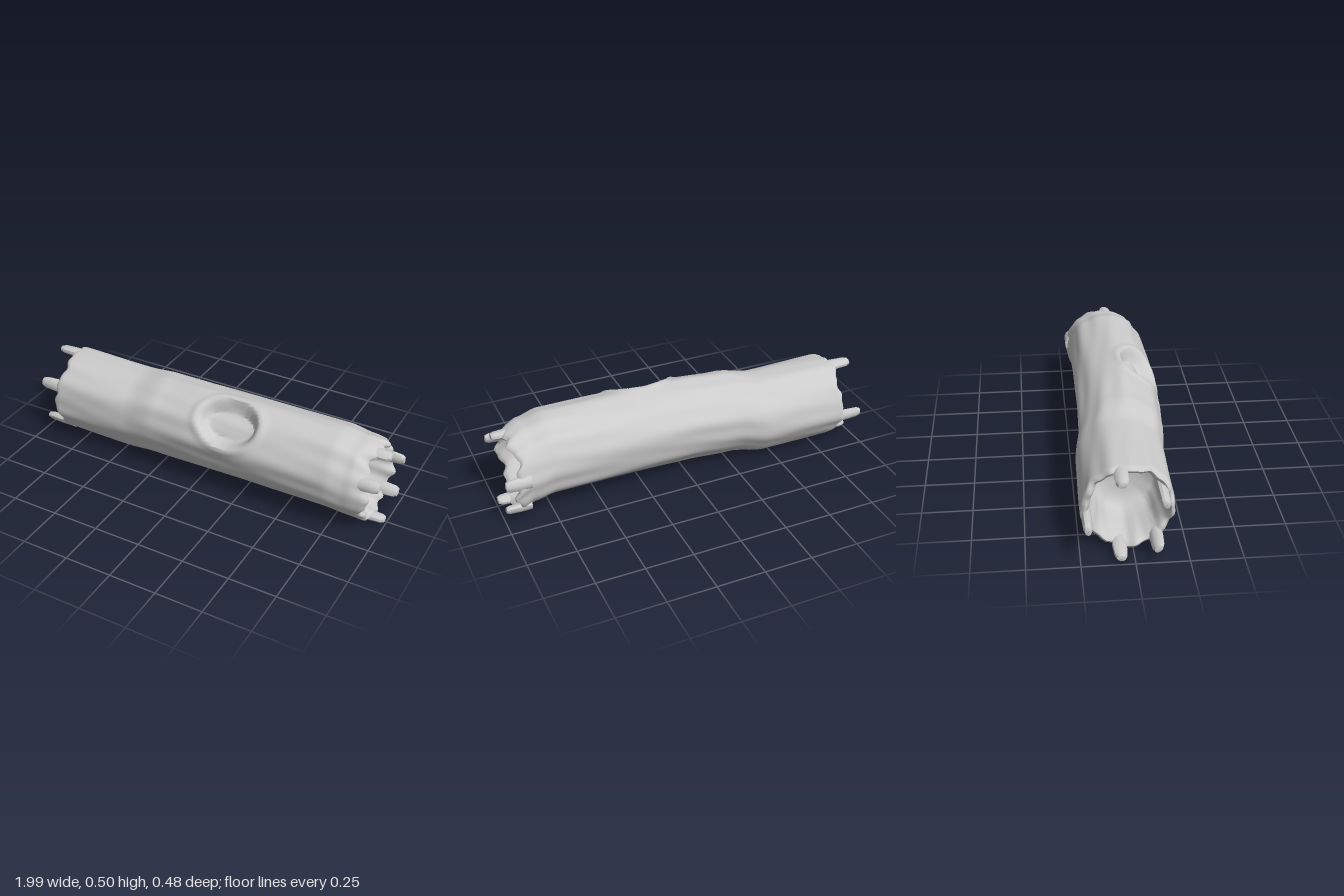
import * as THREE from 'three';
import { toCreasedNormals } from 'three/addons/utils/BufferGeometryUtils.js';

const SEG = 96;
const LEFT = -0.875, RIGHT = 0.925; // rims of the log
const smooth = (a, b, v) => THREE.MathUtils.smoothstep(v, a, b);

// Stations along the log: x, bottom, top, back, front
const stations = [
  [-1.0, 0.02, 0.44, -0.235, 0.185],
  [-0.85, 0.012, 0.452, -0.24, 0.195],
  [-0.45, 0.014, 0.448, -0.238, 0.2],
  [-0.25, 0.04, 0.478, -0.212, 0.215],
  [0.0, 0.05, 0.488, -0.205, 0.224],
  [0.35, 0.053, 0.488, -0.205, 0.228],
  [0.72, 0.05, 0.485, -0.205, 0.222],
  [0.84, 0.033, 0.462, -0.21, 0.208],
  [0.95, 0.006, 0.432, -0.228, 0.182],
  [1.05, 0.0, 0.43, -0.23, 0.18],
];

function section(x) {
  let i = 0;
  while (i < stations.length - 2 && x > stations[i + 1][0]) i++;
  const a = stations[i], b = stations[i + 1];
  const t = smooth(a[0], b[0], x);
  const [bottom, top, back, front] = [1, 2, 3, 4].map((k) => a[k] + (b[k] - a[k]) * t);
  return { cy: (bottom + top) / 2, cz: (back + front) / 2, ry: (top - bottom) / 2, rz: (front - back) / 2 };
}

// Long-grain unevenness of the bark
function grain(x, a) {
  return 0.003 * Math.sin(5 * a + 2.5 * x) + 0.0025 * Math.sin(9 * a - 3 * x + 1)
    + 0.002 * Math.sin(14 * a + 5 * x) * Math.sin(4 * x + 2);
}

// Knot hollow: steep wall, flat floor and a faint lip
function knot(x, a) {
  const d = Math.hypot((x - 0.17) / 0.165, ((a - 0.83) * 0.22) / 0.135);
  const lip = 0.008 * Math.exp(-(((d - 1.12) / 0.13) ** 2));
  return lip - 0.065 * (1 - smooth(0.76, 1.02, d));
}

// Ragged rim
function jag(x, a) {
  const wave = 0.014 * Math.sin(4 * a + 1) + 0.009 * Math.sin(9 * a + 2) + 0.006 * Math.sin(17 * a);
  return wave * (smooth(RIGHT - 0.12, RIGHT, x) - 0.7 * (1 - smooth(LEFT, LEFT + 0.12, x)));
}

function makeLog() {
  // Profile: left recess, rim, bark, rim, right recess, as [x, inset, scale, bark]
  const recess = [[0.27, 0.07, 0], [0.268, 0.07, 0.5], [0.255, 0.07, 0.92], [0.235, 0.066, 1], [0.15, 0.058, 1],
    [0.07, 0.048, 1], [0.02, 0.038, 1], [0.002, 0.028, 1], [-0.004, 0.016, 1], [0.003, 0.005, 1]];
  const path = recess.map(([d, inset, s]) => [LEFT + d, inset, s, 0]);
  const N = 130;
  for (let i = 0; i <= N; i++) path.push([LEFT + 0.015 + (RIGHT - LEFT - 0.03) * i / N, 0, 1, 1]);
  path.push(...recess.map(([d, inset, s]) => [RIGHT - d, inset, s, 0]).reverse());

  const pos = [], index = [];
  path.forEach(([x, inset, s, bark]) => {
    const { cy, cz, ry, rz } = section(x);
    for (let j = 0; j <= SEG; j++) {
      const a = ((j % SEG) / SEG) * Math.PI * 2;
      const off = grain(x, a) + (bark ? knot(x, a) : 0) - inset;
      pos.push(x + (s === 1 ? jag(x, a) : 0), cy + Math.sin(a) * (ry + off) * s, cz + Math.cos(a) * (rz + off) * s);
    }
  });
  const row = SEG + 1;
  for (let i = 0; i < path.length - 1; i++) {
    for (let j = 0; j < SEG; j++) {
      const p = i * row + j, q = p + row;
      if (path[i + 1][2] > 0) index.push(p, q, q + 1);
      if (path[i][2] > 0) index.push(p, q + 1, p + 1);
    }
  }
  const geo = new THREE.BufferGeometry();
  geo.setAttribute('position', new THREE.Float32BufferAttribute(pos, 3));
  geo.setIndex(index);
  return toCreasedNormals(geo, 0.8);
}

// Blunt splinter along +y, wide in x and thin in z
function makeSplinter(length) {
  const profile = [[0.001, 0], [0.031, 0], [0.032, length * 0.45], [0.028, length * 0.85],
    [0.02, length * 0.97], [0.001, length]].map(([r, y]) => new THREE.Vector2(r, y));
  const geo = new THREE.LatheGeometry(profile, 10);
  geo.scale(1.1, 1, 0.75);
  return toCreasedNormals(geo, 0.8);
}

export function createModel() {
  const model = new THREE.Group();
  const material = new THREE.MeshStandardMaterial({ color: 0xcccccc });
  const add = (name, geo) => {
    const mesh = new THREE.Mesh(geo, material);
    mesh.name = name;
    model.add(mesh);
    return mesh;
  };
  add('hollowLog', makeLog());

  // Splinters at each end: tip centres as [z, y]
  const ends = [
    { name: 'leftSplinter', side: 1, rim: RIGHT, tips: [[0.018, 0.415], [0.158, 0.318], [-0.203, 0.257], [-0.157, 0.085], [0.015, 0.03]] },
    { name: 'rightSplinter', side: -1, rim: LEFT, tips: [[-0.06, 0.425], [0.135, 0.313], [0.105, 0.075], [-0.065, 0.035], [-0.215, 0.19]] },
  ];
  for (const { name, side, rim, tips } of ends) {
    const { cy, cz } = section(rim);
    const start = rim - side * 0.06;
    const geo = makeSplinter(Math.abs(side * 0.997 - start));
    tips.forEach(([z, y], i) => {
      const splinter = add(`${name}${i + 1}`, geo);
      const along = new THREE.Vector3(side, 0, 0);
      const out = new THREE.Vector3(0, y - cy, z - cz).normalize();
      const across = new THREE.Vector3().crossVectors(along, out);
      splinter.quaternion.setFromRotationMatrix(new THREE.Matrix4().makeBasis(across, along, out));
      splinter.position.set(start, y, z);
    });
  }
  return model;
}
